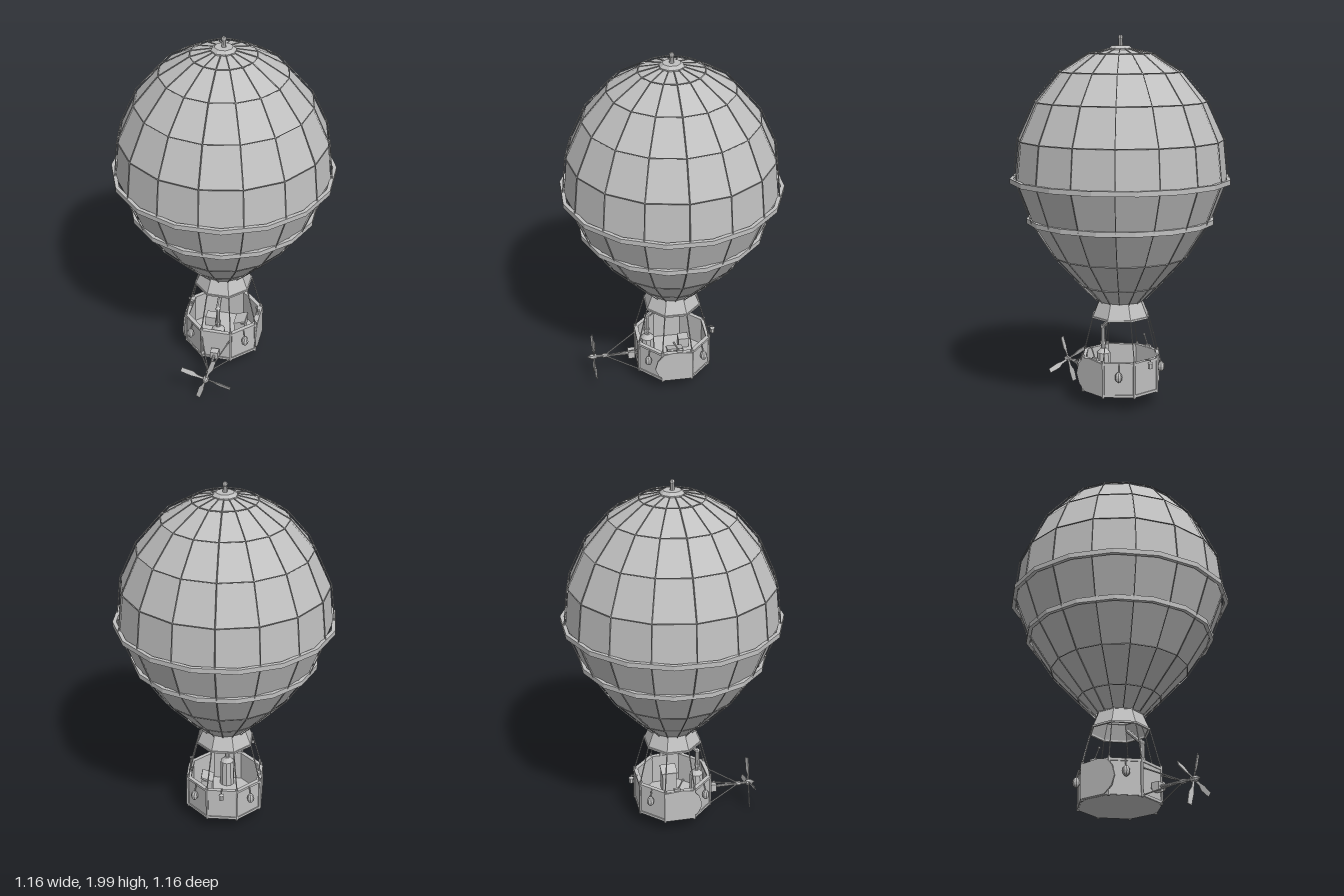
import * as THREE from 'three';

const grey = new THREE.MeshStandardMaterial({ color: 0xc0c0c0, flatShading: true, side: THREE.DoubleSide });
grey.name = 'plain grey';

const V = (x, y, z) => new THREE.Vector3(x, y, z);

function add(parent, name, geometry, x = 0, y = 0, z = 0) {
  const mesh = new THREE.Mesh(geometry, grey);
  mesh.name = name;
  mesh.position.set(x, y, z);
  parent.add(mesh);
  return mesh;
}

// Straight rod between two points
function rod(parent, name, a, b, r, sides = 5) {
  const d = b.clone().sub(a);
  const mesh = add(parent, name, new THREE.CylinderGeometry(r, r, d.length(), sides));
  mesh.position.copy(a).addScaledVector(d, 0.5);
  mesh.quaternion.setFromUnitVectors(V(0, 1, 0), d.normalize());
  return mesh;
}

// Faceted lathe from [radius, height] pairs; start turns the corners
function lathe(parent, name, pts, sides, start = 0) {
  const profile = pts.map(([r, y]) => new THREE.Vector2(r, y));
  return add(parent, name, new THREE.LatheGeometry(profile, sides, start));
}

// Point on a circle, angle measured from +z towards +x
const polar = (r, y, a) => V(Math.sin(a) * r, y, Math.cos(a) * r);

const HULL = [
  [0.125, 0.58], [0.213, 0.67], [0.36, 0.83], [0.485, 1.025], [0.567, 1.24],
  [0.545, 1.455], [0.455, 1.65], [0.325, 1.805], [0.165, 1.9], [0.055, 1.925],
];

function makeEnvelope() {
  const g = new THREE.Group();
  g.name = 'envelope';
  lathe(g, 'balloonSkin', [...HULL, [0, 1.93]], 16);

  // Rope net following the panel seams
  const net = HULL.map(([r, y]) => [r + 0.008, y + (y > 1.6 ? 0.005 : 0)]);
  for (let i = 0; i < 16; i++) {
    const a = (i * Math.PI) / 8;
    for (let j = 0; j < net.length - 1; j++) {
      rod(g, 'verticalRope', polar(...net[j], a), polar(...net[j + 1], a), 0.003, 4);
    }
  }
  for (const [r, y] of net.slice(1, -1)) {
    const ring = add(g, 'ringRope', new THREE.TorusGeometry(r, 0.003, 4, 16), 0, y, 0);
    ring.rotation.x = Math.PI / 2;
  }

  // Two stiffening hoops
  for (const [r, y] of [[0.592, 1.24], [0.505, 1.025]]) {
    const h = 0.013, inner = r - 0.02;
    lathe(g, 'hoop', [[inner, y - h], [r, y - h], [r, y + h], [inner, y + h], [inner, y - h]], 16, Math.PI / 16);
  }

  // Crown cap and finial
  lathe(g, 'crownCap', [[0.066, 1.915], [0.066, 1.93], [0.048, 1.945], [0, 1.945]], 8, Math.PI / 8);
  add(g, 'finialPost', new THREE.CylinderGeometry(0.009, 0.013, 0.05, 8), 0, 1.965, 0);
  add(g, 'finialKnob', new THREE.SphereGeometry(0.014, 8, 6), 0, 1.986, 0);

  // Open skirt at the mouth
  lathe(g, 'skirt', [[0.16, 0.495], [0.122, 0.585]], 8, Math.PI / 8);
  for (const [r, y] of [[0.16, 0.495], [0.124, 0.583]]) {
    lathe(g, 'skirtRim', [[r - 0.008, y - 0.005], [r + 0.004, y - 0.005], [r + 0.004, y + 0.005],
      [r - 0.008, y + 0.005], [r - 0.008, y - 0.005]], 8, Math.PI / 8);
  }
  return g;
}

function makeBasket() {
  const g = new THREE.Group();
  g.name = 'basket';
  const R = 0.217, s = Math.PI / 8;
  lathe(g, 'walls', [[0, 0.09], [R, 0.09], [R, 0.27], [R - 0.015, 0.27], [R - 0.015, 0.105], [0, 0.105]], 8, s);
  for (const y of [0.098, 0.273]) {
    lathe(g, 'rail', [[R - 0.018, y - 0.007], [R + 0.006, y - 0.007], [R + 0.006, y + 0.007],
      [R - 0.018, y + 0.007], [R - 0.018, y - 0.007]], 8, s);
  }

  // Corner posts and suspension ropes
  for (let i = 0; i < 8; i++) {
    const a = s + (i * Math.PI) / 4;
    rod(g, 'cornerPost', polar(R, 0.085, a), polar(R, 0.29, a), 0.008, 6);
    rod(g, 'suspensionRope', polar(R, 0.28, a), polar(0.16, 0.495, a), 0.0035, 4);
  }

  // Ballast bags on the diagonal walls
  for (let i = 0; i < 4; i++) {
    const a = Math.PI / 4 + (i * Math.PI) / 2;
    const bag = add(g, 'ballastBag', new THREE.SphereGeometry(0.02, 8, 6));
    bag.scale.y = 1.45;
    bag.position.copy(polar(0.222, 0.208, a));
    rod(g, 'bagRope', polar(0.222, 0.23, a), polar(0.21, 0.275, a), 0.004);
  }

  // Rounded side plates
  const plate = new THREE.Shape();
  plate.moveTo(-0.088, 0.095);
  plate.lineTo(0.06, 0.095);
  plate.lineTo(0.105, 0.13);
  plate.lineTo(0.125, 0.18);
  plate.lineTo(0.11, 0.235);
  plate.lineTo(0.075, 0.275);
  plate.lineTo(0.02, 0.285);
  plate.lineTo(-0.088, 0.275);
  for (const x of [0.203, -0.211]) {
    const mesh = add(g, 'sidePlate', new THREE.ExtrudeGeometry(plate, { depth: 0.008, bevelEnabled: false }));
    mesh.geometry.rotateY(-Math.PI / 2).translate(0.008, 0, 0);
    mesh.position.x = x;
  }

  // Lantern hanging off the back
  rod(g, 'lanternArm', V(0, 0.285, -0.2), V(0, 0.29, -0.236), 0.004);
  rod(g, 'lanternHook', V(0, 0.29, -0.236), V(0, 0.27, -0.236), 0.003);
  add(g, 'lantern', new THREE.CylinderGeometry(0.011, 0.013, 0.03, 6), 0, 0.258, -0.236);
  add(g, 'lanternCap', new THREE.ConeGeometry(0.016, 0.01, 6), 0, 0.278, -0.236);
  return g;
}

function makeEngine() {
  const g = new THREE.Group();
  g.name = 'engine';

  // Boiler with bent flue
  add(g, 'boiler', new THREE.CylinderGeometry(0.038, 0.042, 0.15, 10), 0, 0.18, 0.14);
  add(g, 'boilerTop', new THREE.CylinderGeometry(0.016, 0.038, 0.025, 10), 0, 0.267, 0.14);
  const bend = V(0, 0.4, 0.145), tip = V(0, 0.49, 0.05);
  rod(g, 'flue', V(0, 0.27, 0.145), bend, 0.012, 8);
  rod(g, 'flueBend', bend, tip, 0.012, 8);
  add(g, 'flueElbow', new THREE.SphereGeometry(0.015, 8, 6), 0, 0.4, 0.145);
  add(g, 'flueCollar', new THREE.CylinderGeometry(0.017, 0.017, 0.015, 8), 0, 0.31, 0.145);

  // Control desk, levers and stowage
  add(g, 'controlDesk', new THREE.BoxGeometry(0.06, 0.12, 0.08), 0.1, 0.165, 0);
  const top = add(g, 'controlPanel', new THREE.BoxGeometry(0.07, 0.01, 0.09), 0.1, 0.235, 0);
  top.rotation.z = 0.35;
  for (const x of [-0.195, 0.195]) {
    rod(g, 'lever', V(x, 0.28, -0.015), V(x, 0.34, 0.015), 0.004);
    add(g, 'leverKnob', new THREE.SphereGeometry(0.008, 6, 5), x, 0.345, 0.018);
    add(g, 'leverBase', new THREE.BoxGeometry(0.016, 0.015, 0.035), x, 0.287, -0.015);
  }
  add(g, 'crate', new THREE.BoxGeometry(0.06, 0.06, 0.06), -0.09, 0.135, -0.08);

  // Drive shaft, gearbox and braces
  add(g, 'gearbox', new THREE.BoxGeometry(0.045, 0.045, 0.04), 0, 0.15, 0.235);
  rod(g, 'driveShaft', V(0, 0.15, 0.2), V(0, 0.15, 0.46), 0.008, 8);
  rod(g, 'shaftSleeve', V(0, 0.15, 0.375), V(0, 0.15, 0.4), 0.013, 8);
  for (const x of [-0.08, 0.08]) {
    for (const y of [0.095, 0.235]) rod(g, 'brace', V(x, y, 0.205), V(0, 0.15, 0.39), 0.004);
  }
  return g;
}

function makePropeller() {
  const g = new THREE.Group();
  g.name = 'propeller';
  g.position.set(0, 0.15, 0.45);
  const hub = add(g, 'hub', new THREE.CylinderGeometry(0.016, 0.016, 0.03, 8));
  hub.rotation.x = Math.PI / 2;
  const spinner = add(g, 'spinner', new THREE.ConeGeometry(0.016, 0.025, 8), 0, 0, 0.027);
  spinner.rotation.x = Math.PI / 2;

  const outline = new THREE.Shape();
  outline.moveTo(-0.005, 0);
  outline.lineTo(0.005, 0);
  outline.lineTo(0.007, 0.05);
  outline.lineTo(0.018, 0.08);
  outline.lineTo(0.015, 0.145);
  outline.lineTo(-0.01, 0.145);
  outline.lineTo(-0.012, 0.08);
  outline.lineTo(-0.007, 0.05);
  for (let i = 0; i < 4; i++) {
    const blade = new THREE.ExtrudeGeometry(outline, { depth: 0.005, bevelEnabled: false });
    blade.translate(0, 0, -0.0025).rotateY(0.35).rotateZ(-0.3 + (i * Math.PI) / 2);
    add(g, 'blade', blade);
  }
  return g;
}

export function createModel() {
  const model = new THREE.Group();
  model.name = 'airBalloon';
  model.add(makeEnvelope(), makeBasket(), makeEngine(), makePropeller());
  return model;
}
